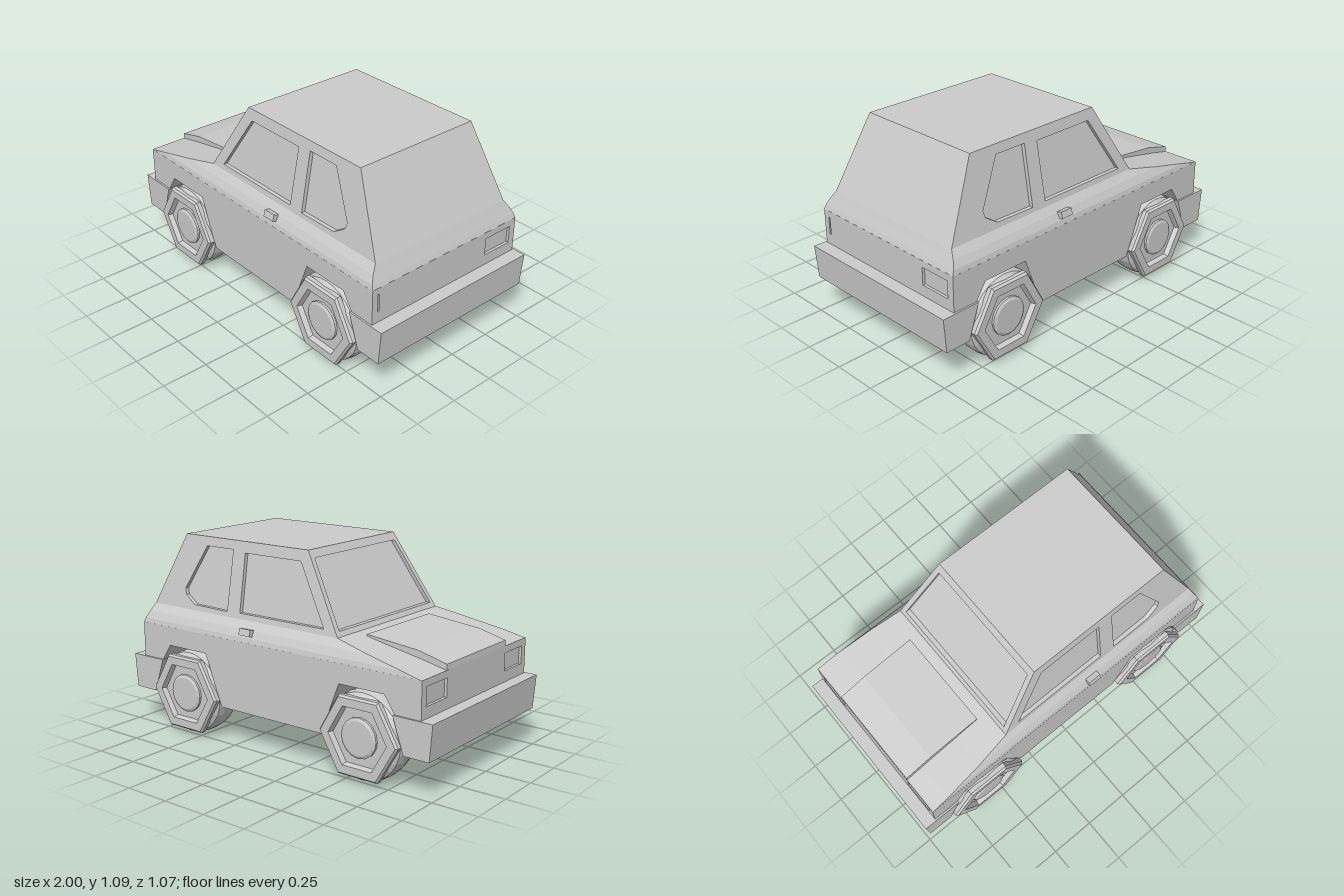
import * as THREE from 'three';

const mat = new THREE.MeshStandardMaterial({ color: 0xcccccc, flatShading: true });

function add(parent, name, geo) {
  const mesh = new THREE.Mesh(geo, mat);
  mesh.name = name;
  parent.add(mesh);
  return mesh;
}

// Shape from corner points, with optional holes
function outline(points, holes = []) {
  const v = (list) => list.map(([x, y]) => new THREE.Vector2(x, y));
  const shape = new THREE.Shape(v(points));
  holes.forEach((h) => shape.holes.push(new THREE.Path(v(h))));
  return shape;
}

// Extrude a shape, then move every vertex by a rule (u, v, d) -> [x, y, z]
function panel(shape, depth, rule) {
  const geo = new THREE.ExtrudeGeometry(shape, { depth, bevelEnabled: false });
  const p = geo.attributes.position;
  for (let i = 0; i < p.count; i++) p.setXYZ(i, ...rule(p.getX(i), p.getY(i), p.getZ(i)));
  geo.computeVertexNormals();
  return geo;
}

const slab = (points, halfWidth) =>
  panel(outline(points), halfWidth * 2, (u, v, d) => [u, v, d - halfWidth]);

// Stack of rectangles [y, front x, rear x, half width], closed at both ends
function loft(levels) {
  const pos = [];
  const idx = [];
  levels.forEach(([y, f, r, w]) => pos.push(f, y, w, r, y, w, r, y, -w, f, y, -w));
  for (let k = 0; k < levels.length - 1; k++) {
    for (let j = 0; j < 4; j++) {
      const a = k * 4 + j, b = k * 4 + ((j + 1) % 4);
      idx.push(a, b, b + 4, a, b + 4, a + 4);
    }
  }
  const t = (levels.length - 1) * 4;
  idx.push(0, 2, 1, 0, 3, 2, t, t + 1, t + 2, t, t + 2, t + 3);
  const geo = new THREE.BufferGeometry();
  geo.setAttribute('position', new THREE.Float32BufferAttribute(pos, 3));
  geo.setIndex(idx);
  geo.computeVertexNormals();
  return geo;
}

// Cabin planes as functions of height
const BELT = 0.69, ROOF = 1.09;
const between = (a, b) => (y) => a + ((b - a) * (y - BELT)) / (ROOF - BELT);
const frontX = between(-0.4, -0.16);
const rearX = between(0.88, 0.69);
const halfZ = between(0.445, 0.372);

const rect = (x0, x1, y0, y1) => [[x0, y0], [x1, y0], [x1, y1], [x0, y1]];

// Lathe profile [radius, z] turned about the z axis
function turned(profile, sides, start = 0) {
  const geo = new THREE.LatheGeometry(profile.map(([r, z]) => new THREE.Vector2(r, z)), sides, start);
  return geo.rotateX(Math.PI / 2);
}

function makeWheel() {
  const wheel = new THREE.Group();
  wheel.name = 'wheel';
  add(wheel, 'tyre', turned([
    [0, 0.37], [0.17, 0.37], [0.18, 0.335], [0.205, 0.335], [0.222, 0.36],
    [0.23, 0.40], [0.232, 0.45], [0.225, 0.49], [0.2, 0.51], [0, 0.51],
  ], 28)).material = tyreMat;
  add(wheel, 'hexagonalRim', turned([
    [0.165, 0.5], [0.235, 0.5], [0.236, 0.525], [0.225, 0.537], [0.175, 0.537], [0.16, 0.5],
  ], 6, Math.PI / 6)).material = tyreMat;
  add(wheel, 'hub', turned([[0.105, 0.5], [0.105, 0.522], [0.09, 0.53], [0, 0.53]], 16)).material = tyreMat;
  return wheel;
}
const tyreMat = mat.clone();
tyreMat.side = THREE.DoubleSide;

export function createModel() {
  const car = new THREE.Group();
  car.name = 'car';

  // Lower body with wheel arches running right across
  add(car, 'lowerBody', slab([
    [-0.915, 0.39], [-0.78, 0.39], [-0.72, 0.48], [-0.45, 0.48], [-0.34, 0.2], [0.34, 0.2],
    [0.45, 0.48], [0.72, 0.48], [0.78, 0.39], [0.91, 0.39], [0.91, 0.585], [-0.915, 0.585],
  ], 0.5));

  // Shoulders and sloping hood
  add(car, 'shoulders', loft([
    [0.583, -0.93, 0.925, 0.5], [0.61, -0.81, 0.915, 0.494],
    [0.65, -0.6, 0.897, 0.474], [BELT, -0.4, 0.88, 0.445],
  ]));
  add(car, 'hoodBulge', slab([[-0.93, 0.584], [-0.46, 0.66], [-0.46, 0.687], [-0.77, 0.655], [-0.928, 0.615]], 0.283));

  // Nose and tail plates with light recesses
  const plate = rect(-0.5, 0.5, 0.39, 0.585);
  const lamp = rect(0.28, 0.46, 0.45, 0.547);
  const lampMirrored = rect(-0.46, -0.28, 0.45, 0.547);
  const slit = rect(-0.465, -0.455, 0.45, 0.55);
  add(car, 'nosePlate', panel(outline(plate, [lamp, lampMirrored]), 0.015, (u, v, d) => [-0.915 - d, v, u]));
  add(car, 'tailPlate', panel(outline(plate, [lamp, slit]), 0.015, (u, v, d) => [0.91 + d, v, -u]));

  // Bumpers
  const bumper = [[0.84, 0.2], [0.985, 0.2], [1, 0.39], [0.775, 0.39]];
  add(car, 'rearBumper', slab(bumper, 0.51));
  add(car, 'frontBumper', slab(bumper.map(([x, y]) => [-x, y]).reverse(), 0.51));

  // Cabin: glass core, roof and framed panels
  const level = (y, inX, inZ) => [y, frontX(y) + inX, rearX(y), halfZ(y) - inZ];
  add(car, 'glassCore', loft([level(BELT, 0.025, 0.022), level(1.08, 0.025, 0.022)]));
  add(car, 'roof', loft([level(1.05, 0, 0), level(ROOF, 0, 0)]));

  const sideShape = outline(
    [[frontX(BELT), BELT], [rearX(BELT), BELT], [rearX(ROOF), ROOF], [frontX(ROOF), ROOF]],
    [
      [[-0.31, 0.72], [0.25, 0.72], [0.255, 1.03], [-0.12, 1.03]],
      [[0.34, 0.715], [0.58, 0.72], [0.65, 0.765], [0.66, 0.8], [0.53, 1.04], [0.34, 1.04]],
    ],
  );
  const wind = (y, inset) => [[-halfZ(y) + inset, y], [halfZ(y) - inset, y]];
  const frame = (y0, y1, inset) => [...wind(y0, inset), ...wind(y1, inset).reverse()];
  add(car, 'windshieldFrame', panel(outline(frame(BELT, ROOF, 0), [frame(0.715, 1.055, 0.03)]), 0.03,
    (u, v, d) => [frontX(v) + 0.03 - d, v, u]));

  for (const side of [1, -1]) {
    const name = side > 0 ? 'left' : 'right';
    add(car, name + 'WindowFrame', panel(sideShape, 0.03, (u, v, d) => [u, v, halfZ(v) - 0.03 + d])).scale.z = side;
    const handle = add(car, name + 'DoorHandle', new THREE.BoxGeometry(0.075, 0.036, 0.04));
    handle.position.set(0.16, 0.638, side * 0.487);
    handle.rotation.x = -side * 0.25;
  }

  // Wheels and axles
  for (const x of [-0.587, 0.587]) {
    for (const turn of [0, Math.PI]) {
      const wheel = makeWheel();
      wheel.position.set(x, 0.235, 0);
      wheel.rotation.y = turn;
      car.add(wheel);
    }
    add(car, 'axle', new THREE.BoxGeometry(0.06, 0.06, 0.76)).position.set(x, 0.235, 0);
  }
  return car;
}
